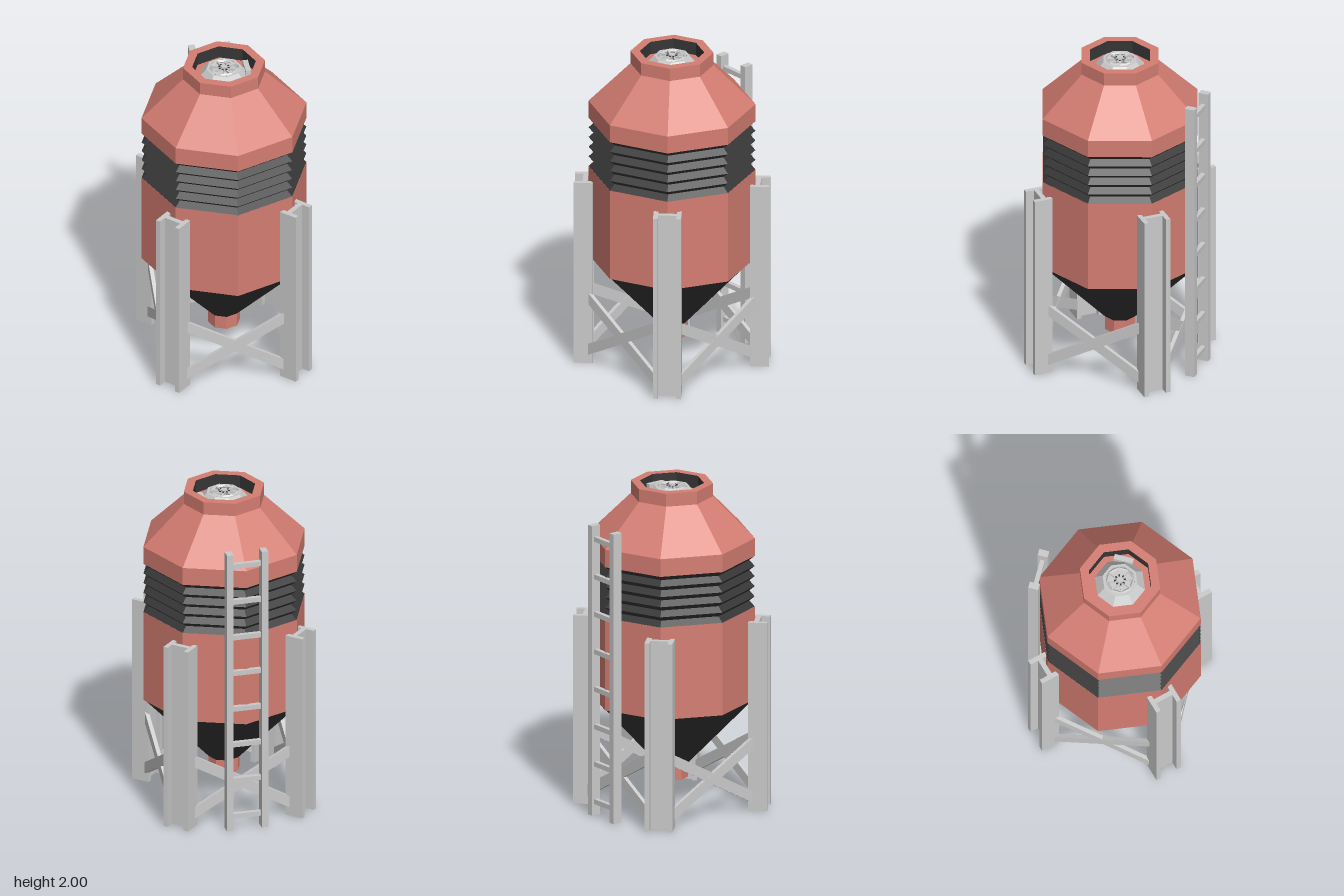
import * as THREE from 'three';

const mat = (name, color) => {
  const m = new THREE.MeshStandardMaterial({ color, flatShading: true });
  m.name = name;
  return m;
};

export function createModel() {
  const red = mat('faded red', 0xd47d72);
  const dark = mat('charcoal', 0x363636);
  const grey = mat('light grey', 0xcacaca);

  const model = new THREE.Group();
  model.name = 'silo';
  const tank = new THREE.Group();
  tank.name = 'tank';
  tank.position.z = 0.015;
  model.add(tank);

  const add = (parent, name, geometry, material, x = 0, y = 0, z = 0) => {
    const mesh = new THREE.Mesh(geometry, material);
    mesh.name = name;
    mesh.position.set(x, y, z);
    parent.add(mesh);
    return mesh;
  };
  const box = (w, h, d) => new THREE.BoxGeometry(w, h, d);
  // Eight-sided turned part; profile runs up the outside, then inward
  const turned = (name, material, profile) => add(tank, name,
    new THREE.LatheGeometry(profile.map(([r, y]) => new THREE.Vector2(r, y)), 8), material);

  // Tank shell, from the spout upward
  turned('spout', red, [[0, 0.17], [0.095, 0.17], [0.095, 0.27]]);
  turned('hopper', dark, [[0.08, 0.24], [0.49, 0.67]]);
  turned('lowerBody', red, [[0.48, 0.67], [0.497, 0.67], [0.497, 1.245], [0.45, 1.245]]);
  const pleats = [];
  for (let i = 0; i <= 10; i++) pleats.push([i % 2 ? 0.458 : 0.496, 1.245 + i * 0.0315]);
  turned('bellows', dark, pleats);
  turned('roof', red, [[0.45, 1.56], [0.497, 1.56], [0.497, 1.67], [0.247, 1.92],
    [0.247, 2], [0.192, 2]]);
  turned('rimInside', dark, [[0.192, 2], [0.192, 1.92]]);
  turned('rimFloor', red, [[0.192, 1.92], [0, 1.92]]);

  // Hatch with a spoked handwheel
  turned('hatch', grey, [[0.154, 1.92], [0.107, 1.975], [0.09, 1.975], [0.09, 1.955], [0, 1.955]]);
  add(tank, 'hatchHinge', box(0.032, 0.04, 0.117), grey, 0.14, 1.945, -0.015);
  const wheel = new THREE.Group();
  wheel.name = 'handwheel';
  wheel.position.y = 1.972;
  tank.add(wheel);
  add(wheel, 'hub', new THREE.CylinderGeometry(0.02, 0.02, 0.03, 8), grey);
  const ring = add(wheel, 'wheelRing', new THREE.TorusGeometry(0.08, 0.009, 4, 8), grey);
  ring.rotation.set(Math.PI / 2, 0, Math.PI / 8);
  for (let i = 0; i < 8; i++) {
    const arm = new THREE.Group();
    arm.name = 'wheelArm';
    arm.rotation.y = (i + 0.5) * Math.PI / 4;
    wheel.add(arm);
    add(arm, 'spoke', box(0.012, 0.014, 0.056), grey, 0, 0, 0.048);
    add(arm, 'spokeGrip', box(0.009, 0.018, 0.012), dark, 0, 0, 0.029);
  }

  // Flat diagonal brace with vertically cut ends
  const braceGeometry = (s) => {
    const shape = new THREE.Shape([[-0.295, 0.05], [0.295, 0.385], [0.295, 0.457], [-0.295, 0.122]]
      .map(([x, y]) => new THREE.Vector2(s * x, y)));
    return new THREE.ExtrudeGeometry(shape, { depth: 0.024, bevelEnabled: false });
  };
  const braces = [braceGeometry(1), braceGeometry(-1)];

  // Four H-section legs on the diagonals, crossed braces on each side
  for (let i = 0; i < 4; i++) {
    const leg = new THREE.Group();
    leg.name = 'leg';
    leg.rotation.y = Math.PI / 4 + i * Math.PI / 2;
    tank.add(leg);
    for (const s of [-1, 1]) add(leg, 'legFlange', box(0.029, 1.17, 0.114), grey, s * 0.069, 0.585, 0.524);
    add(leg, 'legWeb', box(0.11, 1.17, 0.03), grey, 0, 0.585, 0.514);

    const side = new THREE.Group();
    side.name = 'crossBrace';
    side.rotation.y = i * Math.PI / 2;
    tank.add(side);
    braces.forEach((g, k) => add(side, 'brace', g, grey, 0, 0, 0.386 - k * 0.002));
  }

  // Ladder at the back
  const ladder = new THREE.Group();
  ladder.name = 'ladder';
  model.add(ladder);
  for (const s of [-1, 1]) add(ladder, 'ladderRail', box(0.04, 1.8, 0.061), grey, s * 0.107, 0.9, -0.485);
  for (let i = 0; i < 8; i++) {
    add(ladder, 'rung', box(0.18, 0.03, 0.027), grey, 0, 0.085 + i * 0.233, -0.485);
  }
  return model;
}
